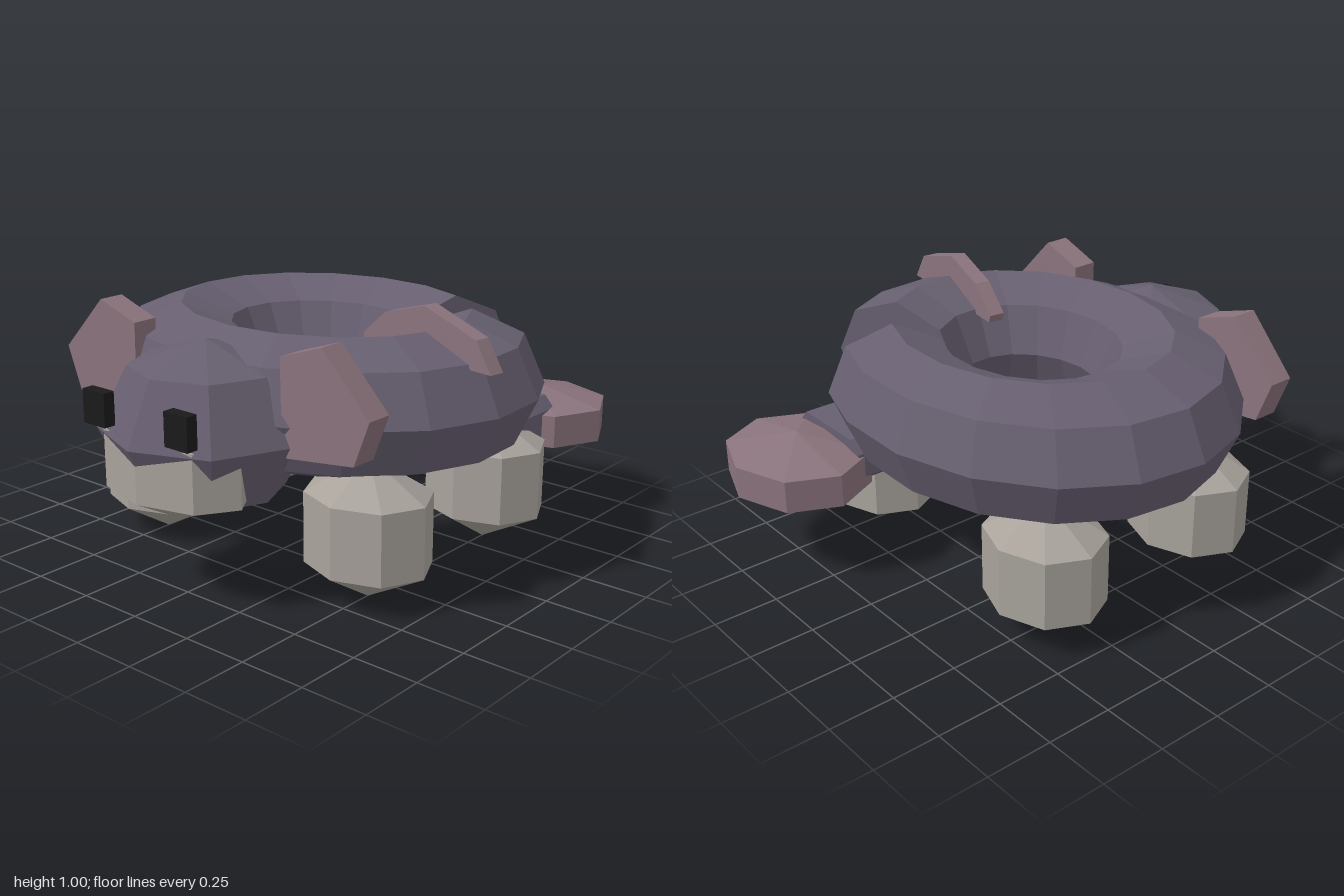
import * as THREE from 'three';

const mat = (color) => new THREE.MeshStandardMaterial({ color, flatShading: true });

export function createModel() {
  const model = new THREE.Group();
  const skin = mat(0x675f70), pink = mat(0x8a737c), pale = mat(0xa8a29b), black = mat(0x1a1a1a);

  const add = (name, geometry, material, x = 0, y = 0, z = 0, parent = model) => {
    const mesh = new THREE.Mesh(geometry, material);
    mesh.name = name;
    mesh.position.set(x, y, z);
    parent.add(mesh);
    return mesh;
  };
  // Faceted ellipsoid with eight sides
  const blob = (name, material, rows, [x, y, z], [rx, ry, rz]) => {
    const g = new THREE.SphereGeometry(1, 8, rows).scale(rx, ry, rz);
    return add(name, g, material, x, y, z);
  };
  // Flat plate cut from an outline, centred on its thickness
  const plate = (points, depth) => {
    const shape = new THREE.Shape(points.map(([x, y]) => new THREE.Vector2(x, y)));
    return new THREE.ExtrudeGeometry(shape, { depth, bevelEnabled: false }).translate(0, 0, -depth / 2);
  };

  // Body: a ring with a narrow wedge missing, squashed in height and length
  const body = new THREE.Group();
  body.name = 'body';
  body.position.set(0, 0.66, 0.01);
  body.scale.set(1, 0.88, 0.835);
  model.add(body);
  const R = 0.575, r = 0.285, steps = 16;
  const path = [];
  for (let i = 0; i <= steps; i++) {
    const a = THREE.MathUtils.degToRad(34 - (337 * i) / steps);
    path.push(new THREE.Vector3(R * Math.cos(a), 0, -R * Math.sin(a)));
  }
  const curve = new THREE.CatmullRomCurve3(path);
  add('bodyRing', new THREE.TubeGeometry(curve, steps, r, 8, false), skin, 0, 0, 0, body);
  for (const end of [0, 1]) {
    const p = curve.getPointAt(end);
    const outward = curve.getTangentAt(end).multiplyScalar(end ? 1 : -1);
    const cap = new THREE.Mesh(new THREE.CircleGeometry(r, 8), skin);
    cap.name = end ? 'bodyEndCap' : 'bodyStartCap';
    cap.position.copy(p);
    cap.lookAt(p.clone().add(outward));
    body.add(cap);
  }

  // Head and muzzle
  blob('head', skin, 4, [0, 0.59, 0.63], [0.39, 0.31, 0.37]);
  blob('muzzle', pale, 3, [0, 0.5, 0.78], [0.346, 0.21, 0.22]);

  // Eyes, ears and feet on both sides
  const earOutline = [[0.35, 0.55], [0.654, 0.588], [0.716, 0.75], [0.52, 0.955], [0.345, 0.895]];
  for (const s of [1, -1]) {
    const side = s > 0 ? 'left' : 'right';
    add(side + 'Eye', new THREE.BoxGeometry(0.105, 0.12, 0.045), black, s * 0.195, 0.69, 0.945);
    const outline = earOutline.map(([x, y]) => [s * x, y]);
    add(side + 'Ear', plate(outline, 0.1), pink, 0, 0, 0.588);
    blob(side + 'FrontFoot', pale, 3, [s * 0.5, 0.26, 0.365], [0.277, 0.26, 0.237]);
    blob(side + 'BackFoot', pale, 3, [s * 0.5, 0.26, -0.345], [0.277, 0.26, 0.237]);
  }

  // Arched fin lying across the ring
  const fin = plate([[-0.3, 0.82], [0.3, 0.82], [0.23, 0.926], [-0.01, 1.0], [-0.2, 0.945], [-0.31, 0.85]], 0.06);
  add('backFin', fin, pink, 0.555, 0, 0.095).rotation.y = -0.147;

  // Tail: chamfered stem and a flattened paddle
  const stem = [[0.23, 0.38], [0.28, 0.34], [0.585, 0.34], [0.625, 0.38],
    [0.625, 0.475], [0.585, 0.52], [0.28, 0.52], [0.23, 0.475]];
  add('tailStem', plate(stem, 0.37), skin, 0, 0, -0.435);
  blob('tailPaddle', pink, 3, [0.46, 0.4, -0.74], [0.346, 0.125, 0.3]);

  return model;
}
